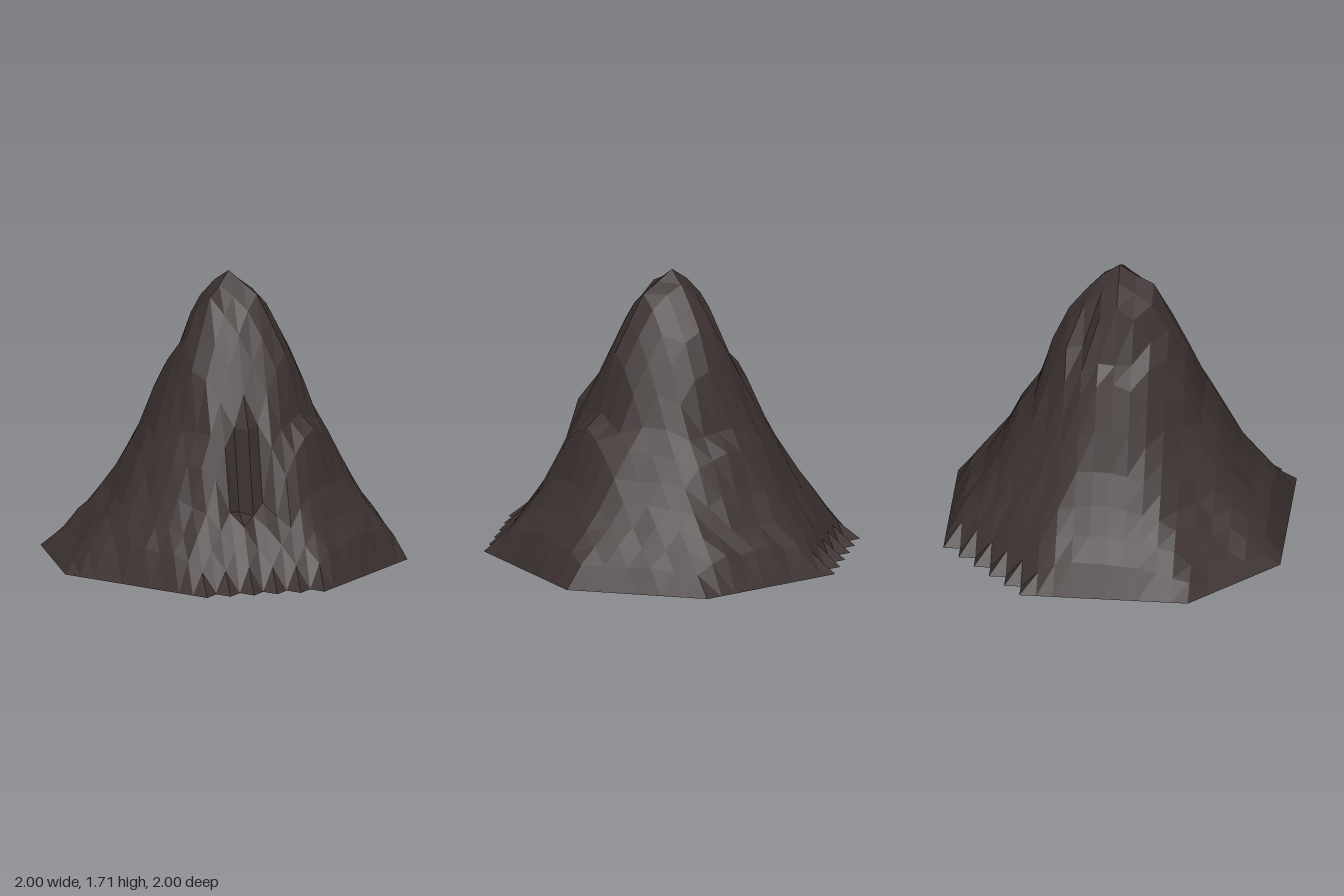
import * as THREE from 'three';

const N = 20, STEP = 0.1;

// Height at radius 0, 0.1 ... 1.0, for eight directions turning from +x towards +z
const PROFILES = [
  [1.71, 1.65, 1.59, 1.43, 1.26, 0.91, 0.83, 0.51, 0.33, 0.22, 0],
  [1.71, 1.63, 1.52, 1.34, 1.10, 0.93, 0.72, 0.46, 0.31, 0.17, 0],
  [1.71, 1.64, 1.59, 1.38, 1.18, 0.84, 0.68, 0.48, 0.32, 0.21, 0],
  [1.71, 1.62, 1.50, 1.30, 1.06, 0.78, 0.56, 0.38, 0.24, 0.11, 0],
  [1.71, 1.64, 1.53, 1.20, 1.12, 0.88, 0.63, 0.46, 0.31, 0.18, 0],
  [1.71, 1.62, 1.50, 1.36, 1.12, 0.88, 0.68, 0.50, 0.33, 0.18, 0],
  [1.71, 1.64, 1.53, 1.40, 1.18, 0.83, 0.73, 0.50, 0.32, 0.21, 0],
  [1.71, 1.64, 1.53, 1.34, 1.13, 0.87, 0.66, 0.47, 0.33, 0.18, 0],
];

// Crags at single grid points: x, z, height
const CRAGS = [
  // cleft cliff on the front left shoulder
  [3, 4, 0.88], [4, 4, 0.87], [4, 3, 0.89], [3, 5, 0.78], [5, 3, 0.76],
  [4, 5, 0.40], [5, 4, 0.45], [5, 5, 0.39], [6, 4, 0.38],
  [3, 6, 0.60], [4, 6, 0.42], [4, 7, 0.32],
  // ledge on the left side
  [5, 0, 0.91], [5, 1, 0.88], [5, 2, 0.85], [5, -1, 0.87], [5, -2, 0.83],
  // notch high on the right side
  [-3, -1, 1.20], [-3, 0, 1.19], [-3, 1, 1.20], [-2, -2, 1.26],
  [-3, -2, 1.14], [-2, 1, 1.45], [-1, 3, 1.33], [-2, 2, 1.30],
];

// 1 on the edge of an eight-sided footprint with the given corner cut, 0 at the centre
function rimDistance(x, z, cut) {
  const ax = Math.abs(x), az = Math.abs(z);
  return Math.max(ax, az, (ax + az) / cut);
}

function heightAt(i, j) {
  // the ground line runs just inside the footprint, except at the front right corner
  const x = i * STEP, z = j * STEP, q = rimDistance(x, z, x < 0 && z > 0 ? 1.5 : 1.4);
  if (q > 0.999) return 0;
  const crag = CRAGS.find((c) => c[0] === i && c[1] === j);
  if (crag) return crag[2];
  const radius = THREE.MathUtils.lerp(Math.hypot(x, z), q, q * q);
  const along = Math.min(radius * 10, 9.999), k = Math.floor(along);
  const turn = (Math.atan2(z, x) / (Math.PI / 4) + 8) % 8, d = Math.floor(turn);
  const sample = (p) => THREE.MathUtils.lerp(p[k], p[k + 1], along - k);
  const h = THREE.MathUtils.lerp(sample(PROFILES[d]), sample(PROFILES[(d + 1) % 8]), turn % 1);
  // slight roughness away from the main axes
  const rough = i && j ? 0.014 * Math.sin(i * 2.3) * Math.cos(j * 1.7) : 0;
  return Math.max(0.02, h + rough);
}

export function createModel() {
  const group = new THREE.Group();
  group.name = 'mountain';
  const rock = new THREE.MeshStandardMaterial({ color: 0x3b3130, flatShading: true, side: THREE.DoubleSide });
  rock.name = 'dark brown rock';

  // Square grid of points, keeping only triangles inside the footprint
  const positions = [], index = [], inside = [];
  for (let j = 0; j <= N; j++) {
    for (let i = 0; i <= N; i++) {
      const gi = i - N / 2, gj = j - N / 2, x = gi * STEP, z = gj * STEP;
      positions.push(x, heightAt(gi, gj), z);
      inside.push(rimDistance(x, z, x > 0 && z < 0 ? 1.4 : 1.5) < 1.001);
    }
  }
  const addTriangle = (...t) => { if (t.every((v) => inside[v])) index.push(...t); };
  for (let j = 0; j < N; j++) {
    for (let i = 0; i < N; i++) {
      const a = j * (N + 1) + i, b = a + 1, d = a + N + 1, c = d + 1;
      addTriangle(a, d, c);
      addTriangle(a, c, b);
    }
  }
  const geometry = new THREE.BufferGeometry();
  geometry.setAttribute('position', new THREE.Float32BufferAttribute(positions, 3));
  geometry.setIndex(index);
  geometry.computeVertexNormals();

  const slopes = new THREE.Mesh(geometry, rock);
  slopes.name = 'mountainSlopes';
  group.add(slopes);
  return group;
}
